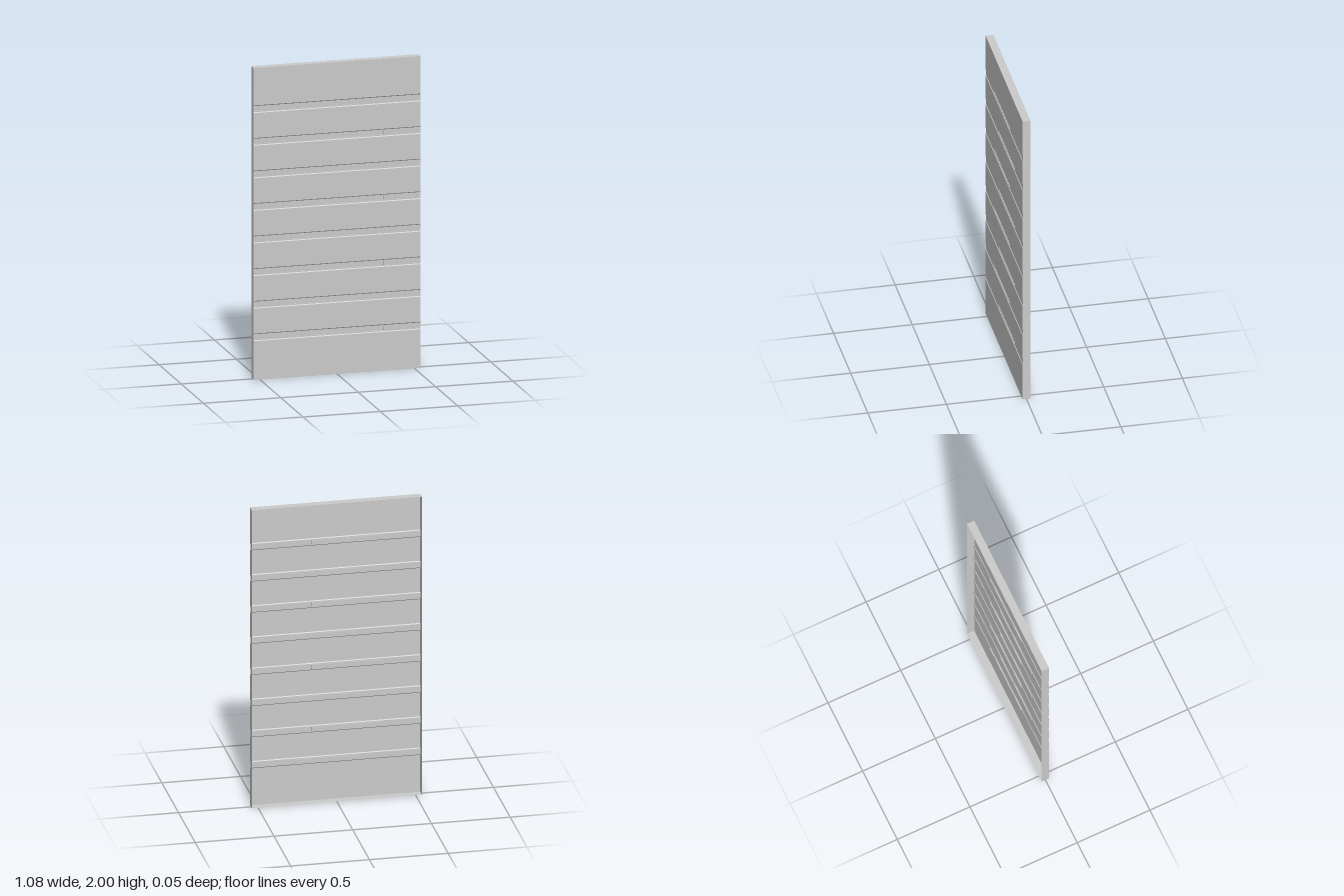
import * as THREE from 'three';

const W = 0.54, H = 2, Z = 0.025;       // half width, height, half depth
const ROWS = 8, FIRST = 0.272, STEP = 0.209;
const BAND = 0.0245, SLOPE = 0.005, DEPTH = 0.004; // recessed band
const POCKET = 0.0135, POCKET_DEPTH = 0.004;       // slot pressed into the band

const material = new THREE.MeshStandardMaterial({
  color: 0xcccccc, side: THREE.DoubleSide, flatShading: true,
});

function add(group, name, geometry) {
  const mesh = new THREE.Mesh(geometry, material);
  mesh.name = name;
  group.add(mesh);
  return mesh;
}

// Flat four-cornered sheet, corners anticlockwise from its outside
function quad(a, b, c, d) {
  const g = new THREE.BufferGeometry();
  g.setAttribute('position', new THREE.Float32BufferAttribute([...a, ...b, ...c, ...d], 3));
  g.setIndex([0, 1, 2, 0, 2, 3]);
  g.computeVertexNormals();
  return g;
}

// Full-width sheet between two heights and depths
const strip = (y0, z0, y1, z1, x0 = -W, x1 = W) =>
  quad([x0, y0, z0], [x1, y0, z0], [x1, y1, z1], [x0, y1, z1]);

function rectangle(path, x0, x1, y0, y1) {
  path.moveTo(x0, y0);
  path.lineTo(x1, y0);
  path.lineTo(x1, y1);
  path.lineTo(x0, y1);
  path.closePath();
  return path;
}

// Recessed band with sloping edges and an offset pocket
function createBand(y, x0, x1) {
  const band = new THREE.Group();
  band.name = 'recessedBand';
  const inner = BAND - SLOPE, zb = Z - DEPTH, zp = zb - POCKET_DEPTH;
  add(band, 'lowerSlope', strip(y - BAND, Z, y - inner, zb));
  add(band, 'upperSlope', strip(y + inner, zb, y + BAND, Z));

  const floor = rectangle(new THREE.Shape(), -W, W, y - inner, y + inner);
  const p0 = y - POCKET, p1 = y + POCKET;
  floor.holes.push(rectangle(new THREE.Path(), x0, x1, p0, p1));
  add(band, 'bandFloor', new THREE.ShapeGeometry(floor)).position.z = zb;

  add(band, 'pocketFloor', strip(p0, zp, p1, zp, x0, x1));
  add(band, 'pocketBottom', strip(p0, zb, p0, zp, x0, x1));
  add(band, 'pocketTop', strip(p1, zp, p1, zb, x0, x1));
  add(band, 'pocketLeftEnd', quad([x1, p0, zp], [x1, p0, zb], [x1, p1, zb], [x1, p1, zp]));
  add(band, 'pocketRightEnd', quad([x0, p0, zb], [x0, p0, zp], [x0, p1, zp], [x0, p1, zb]));
  return band;
}

export function createModel() {
  const model = new THREE.Group();
  model.name = 'ribbedPanel';

  // Side profile, notched where the bands reach the edge
  const side = new THREE.Shape();
  side.moveTo(-Z, 0);
  side.lineTo(Z, 0);

  // Front skin, alternating flat sheets and bands
  let last = 0;
  for (let i = 0; i < ROWS; i++) {
    const y = FIRST + i * STEP;
    add(model, 'frontSheet', strip(last, Z, y - BAND, Z));
    const [x0, x1] = i % 2 ? [-0.3, 0.15] : [-0.15, 0.3];
    model.add(createBand(y, x0, x1));
    side.lineTo(Z, y - BAND);
    side.lineTo(Z - DEPTH, y - BAND + SLOPE);
    side.lineTo(Z - DEPTH, y + BAND - SLOPE);
    side.lineTo(Z, y + BAND);
    last = y + BAND;
  }
  add(model, 'frontSheet', strip(last, Z, H, Z));
  side.lineTo(Z, H);
  side.lineTo(-Z, H);
  side.closePath();

  // Thin flanges around the rim; the back stays open
  for (const [name, x] of [['leftFlange', W], ['rightFlange', -W]]) {
    const g = new THREE.ShapeGeometry(side).rotateY(-Math.PI / 2);
    add(model, name, g).position.x = x;
  }
  add(model, 'topFlange', strip(H, Z, H, -Z));
  add(model, 'bottomFlange', strip(0, -Z, 0, Z));
  return model;
}
